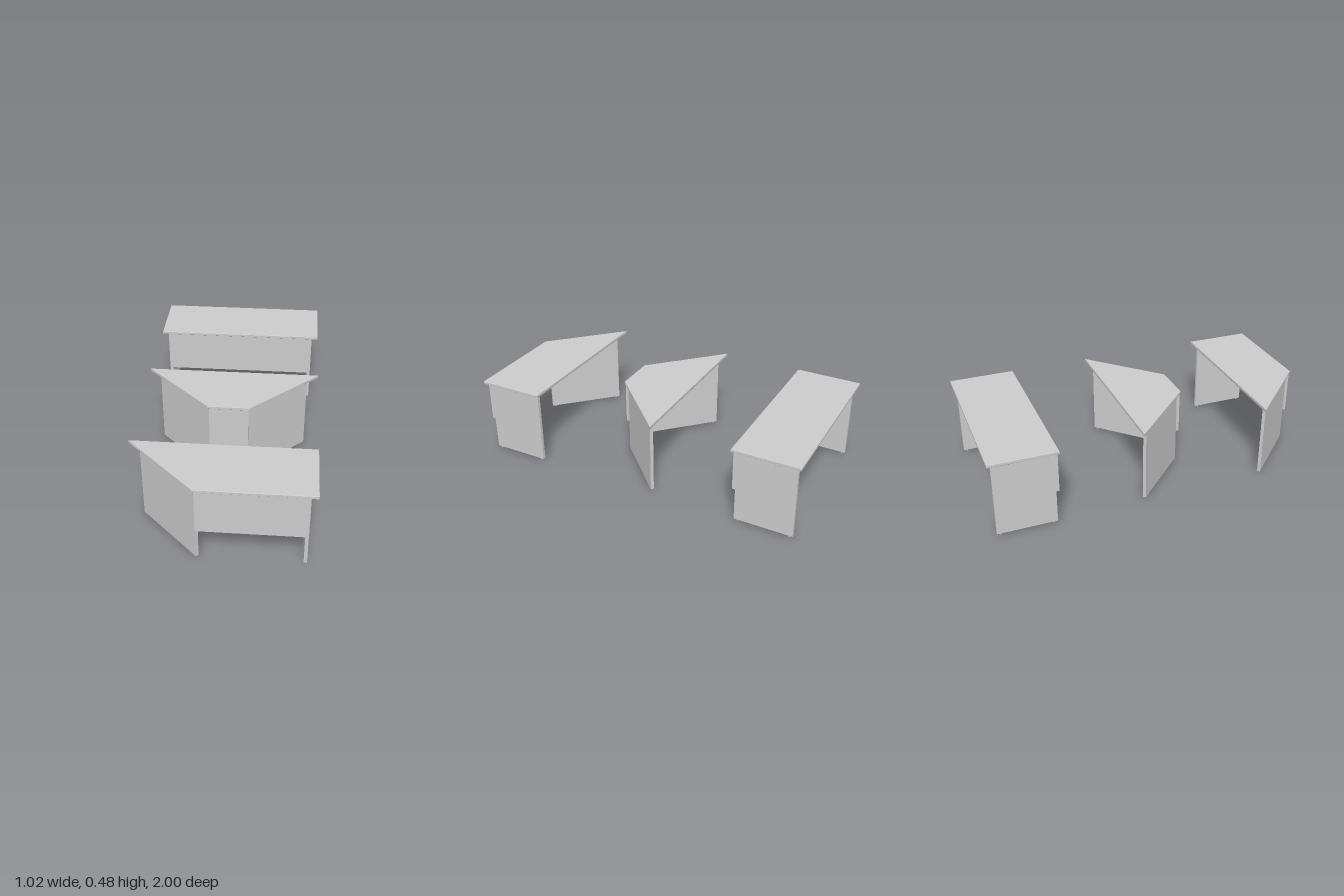
import * as THREE from 'three';

const material = new THREE.MeshStandardMaterial({ color: 0xcccccc });
const DEPTH = 0.388, HALF = 0.51, SHORT = 0.12; // desktop outline
const TOP = 0.478, UNDER = 0.46, FOOT = 0.01, BOARD = 0.018;
const LEG_BACK = 0.025, LEG_FRONT = 0.368;

function add(group, name, geometry, x, y, z) {
  const mesh = new THREE.Mesh(geometry, material);
  mesh.name = name;
  mesh.position.set(x, y, z);
  group.add(mesh);
}

// Desktop with a fine chamfer; each front corner may be cut back at 45 degrees
function desktop(cutRight, cutLeft) {
  const bevel = 0.002;
  const outline = new THREE.Shape([
    new THREE.Vector2(-HALF, 0),
    new THREE.Vector2(HALF, 0),
    new THREE.Vector2(cutLeft ? SHORT : HALF, DEPTH),
    new THREE.Vector2(cutRight ? -SHORT : -HALF, DEPTH),
  ]);
  const geometry = new THREE.ExtrudeGeometry(outline, {
    depth: TOP - UNDER - 2 * bevel, bevelEnabled: true, bevelSegments: 1,
    bevelThickness: bevel, bevelSize: bevel, bevelOffset: -bevel,
  });
  return geometry.rotateX(Math.PI / 2).translate(0, TOP - bevel, 0);
}

// Side panel standing on two small feet, square to the desk or along its cut
function sidePanel(side, slanted) {
  const leg = new THREE.Group();
  leg.name = side < 0 ? 'rightLeg' : 'leftLeg';
  const length = slanted ? 0.467 : LEG_FRONT - LEG_BACK;
  add(leg, 'legPanel', new THREE.BoxGeometry(BOARD, UNDER - FOOT, length), 0, (UNDER + FOOT) / 2, 0);
  for (const end of [-1, 1]) {
    add(leg, 'foot', new THREE.CylinderGeometry(0.005, 0.005, FOOT, 12), 0, FOOT / 2, end * (length / 2 - 0.021));
  }
  leg.position.set(side * (slanted ? 0.2715 : 0.463), 0, (LEG_BACK + LEG_FRONT) / 2);
  if (slanted) leg.rotation.y = -side * Math.PI / 4;
  return leg;
}

function desk(name, z, cutRight, cutLeft) {
  const group = new THREE.Group();
  group.name = name;
  add(group, 'desktop', desktop(cutRight, cutLeft), 0, 0, 0);
  group.add(sidePanel(-1, cutRight), sidePanel(1, cutLeft));
  // Modesty panel across the front of the legs
  const x0 = cutRight ? -0.113 : -0.472, x1 = cutLeft ? 0.113 : 0.472;
  add(group, 'modestyPanel', new THREE.BoxGeometry(x1 - x0, UNDER - 0.205, BOARD),
    (x0 + x1) / 2, (UNDER + 0.205) / 2, LEG_FRONT + BOARD / 2);
  group.position.z = z;
  return group;
}

export function createModel() {
  const model = new THREE.Group();
  model.name = 'deskSet';
  model.add(
    desk('rectangularDesk', -1, false, false),
    desk('trapezoidDesk', -0.135, true, true),
    desk('halfCutDesk', 0.612, true, false),
  );
  return model;
}
